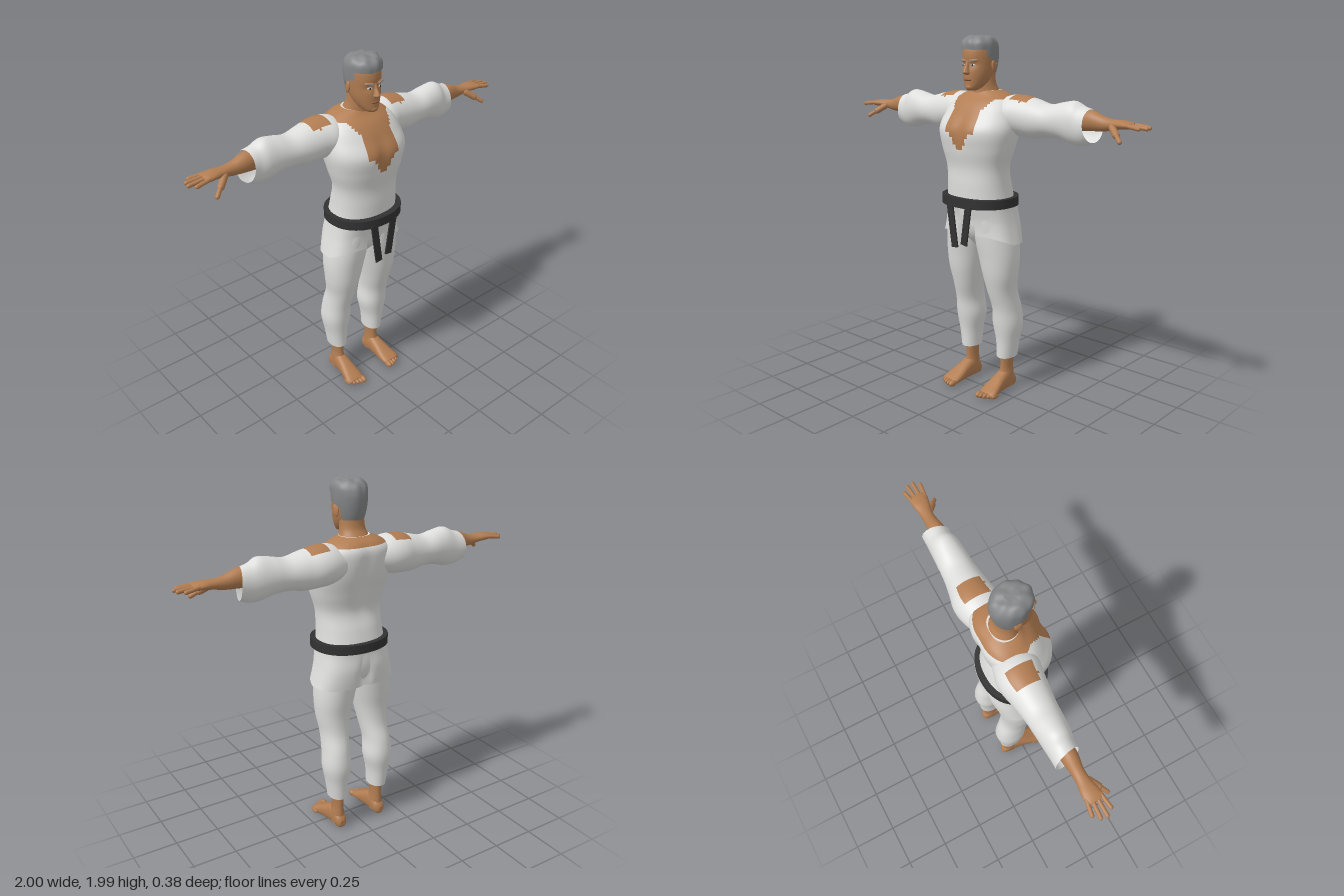
import * as THREE from 'three';

const mat = (name, color, side = THREE.FrontSide) => {
  const m = new THREE.MeshStandardMaterial({ color, side });
  m.name = name;
  return m;
};
const cloth = mat('white cloth', 0xdededc, THREE.DoubleSide);
const skin = mat('skin', 0xb27d52);
const hairGrey = mat('grey hair', 0x858687, THREE.DoubleSide);
const beltBlack = mat('belt black', 0x323232);
const eyeWhite = mat('eye white', 0xd0ccc6);
const dark = mat('dark eye', 0x2a211c);
const lip = mat('lip', 0x8c5a3c);

// Smooth interpolation through neighbouring cross-sections.
const spline = (a, b, c, d, t) => b + 0.5 * t * (c - a + t * (2 * a - 5 * b + 4 * c - d + t * (3 * (b - c) + d - a)));

// Skins a tube through sections [t, uMin, uMax, vMin, vMax] along an axis
// (y: u = z, v = x;  x: u = y, v = z;  z: u = x, v = y).
// pick(centre) chooses the material of each quad, or null to leave it open.
function loft(name, axis, sections, material, { pow = 2, radial = 40, steps = 5, caps = true, warp, pick } = {}) {
  const A = 'xyz'.indexOf(axis), n = sections.length, pos = [], mats = [], lists = [];
  const rows = (n - 1) * steps + 1;
  const shape = (s) => Math.sign(s) * Math.abs(s) ** (2 / pow);
  for (let i = 0; i < rows; i++) {
    const k = Math.min(Math.floor(i / steps), n - 2), t = i / steps - k;
    const at = (j) => sections[Math.min(Math.max(j, 0), n - 1)];
    const s = sections[0].map((_, c) => spline(at(k - 1)[c], at(k)[c], at(k + 1)[c], at(k + 2)[c], t));
    for (let j = 0; j < radial; j++) {
      const a = (j / radial) * Math.PI * 2, p = [0, 0, 0];
      p[A] = s[0];
      p[(A + 1) % 3] = (s[1] + s[2]) / 2 + ((s[2] - s[1]) / 2) * shape(Math.sin(a));
      p[(A + 2) % 3] = (s[3] + s[4]) / 2 + ((s[4] - s[3]) / 2) * shape(Math.cos(a));
      const v = new THREE.Vector3(...p);
      if (warp) warp(v);
      pos.push(v.x, v.y, v.z);
    }
  }
  const add = (m, ...ids) => {
    if (!m) return;
    if (!mats.includes(m)) { mats.push(m); lists.push([]); }
    lists[mats.indexOf(m)].push(...ids);
  };
  for (let i = 0; i < rows - 1; i++) for (let j = 0; j < radial; j++) {
    const a = i * radial + j, b = i * radial + (j + 1) % radial, c = a + radial, d = b + radial;
    const mid = new THREE.Vector3();
    for (const q of [a, b, c, d]) mid.add(new THREE.Vector3().fromArray(pos, q * 3));
    add(pick ? pick(mid.multiplyScalar(0.25)) : material, a, c, b, b, c, d);
  }
  if (caps) for (const end of [0, rows - 1]) {
    const base = pos.length / 3, mid = new THREE.Vector3();
    for (let j = 0; j < radial; j++) {
      const v = new THREE.Vector3().fromArray(pos, (end * radial + j) * 3);
      mid.addScaledVector(v, 1 / radial);
      pos.push(v.x, v.y, v.z);
    }
    pos.push(mid.x, mid.y, mid.z);
    for (let j = 0; j < radial; j++) {
      const a = base + j, b = base + (j + 1) % radial, c = base + radial;
      if (end) add(material, a, c, b); else add(material, a, b, c);
    }
  }
  const g = new THREE.BufferGeometry();
  g.setAttribute('position', new THREE.Float32BufferAttribute(pos, 3));
  g.setIndex(lists.flat());
  let start = 0;
  lists.forEach((l, i) => { g.addGroup(start, l.length, i); start += l.length; });
  g.computeVertexNormals();
  const mesh = new THREE.Mesh(g, mats);
  mesh.name = name;
  return mesh;
}

const sym = (rows) => rows.map(([t, a, b, w]) => [t, a, b, -w, w]);
const bump = (x, c, w) => Math.exp(-(((x - c) / w) ** 2));

function place(name, geometry, material, p, s = [1, 1, 1], r = [0, 0, 0]) {
  const m = new THREE.Mesh(geometry, material);
  m.name = name;
  m.position.set(...p); m.scale.set(...s); m.rotation.set(...r);
  return m;
}

// Rounded rod between two points, used for fingers.
function rod(name, a, b, r) {
  const A = new THREE.Vector3(...a), d = new THREE.Vector3(...b).sub(A), len = d.length();
  const m = place(name, new THREE.CapsuleGeometry(r, len - r, 6, 12), skin, A.clone().addScaledVector(d, 0.5).toArray());
  m.quaternion.setFromUnitVectors(new THREE.Vector3(0, 1, 0), d.normalize());
  return m;
}

// Arm, leg, foot and face parts of the model's left side.
function buildSide(name) {
  const g = new THREE.Group(), ball = new THREE.SphereGeometry(1, 20, 14), box = new THREE.BoxGeometry(1, 1, 1);
  g.name = name;
  g.add(loft('sleeve', 'x', [
    [0.10, 1.50, 1.66, -0.16, 0.03], [0.18, 1.475, 1.685, -0.185, 0.05], [0.25, 1.47, 1.685, -0.188, 0.04],
    [0.33, 1.467, 1.67, -0.17, 0.03], [0.42, 1.48, 1.65, -0.155, 0.02], [0.50, 1.475, 1.665, -0.15, 0.015],
    [0.57, 1.457, 1.675, -0.145, 0.01], [0.62, 1.457, 1.652, -0.14, 0], [0.66, 1.475, 1.64, -0.14, 0],
  ], cloth, {
    caps: false, steps: 7, radial: 48,
    warp: (v) => { // slanted cuff
      const k = Math.max(0, (v.x - 0.58) / 0.08);
      v.x += k * (0.012 - (v.z + 0.07) * 0.22 - (v.y - 1.56) * 0.1);
    },
    pick: (p) => (p.x > 0.2 && p.x < 0.31 && p.y > 1.655 && p.z > -0.14 && p.z < 0 ? skin : cloth),
  }));
  g.add(loft('forearm and palm', 'x', [
    [0.50, 1.52, 1.64, -0.12, -0.02], [0.60, 1.53, 1.64, -0.11, -0.02], [0.68, 1.535, 1.635, -0.105, -0.02],
    [0.75, 1.54, 1.61, -0.096, -0.03], [0.80, 1.55, 1.602, -0.097, -0.028], [0.85, 1.558, 1.602, -0.105, -0.018],
    [0.89, 1.561, 1.597, -0.105, -0.012], [0.91, 1.568, 1.59, -0.098, -0.02],
  ], skin, { radial: 24 }));
  [[-0.094, -0.108, 0.96], [-0.071, -0.078, 0.988], [-0.047, -0.045, 0.993], [-0.024, -0.012, 0.968]].forEach(([z0, z1, x], i) =>
    g.add(rod('finger' + (i + 1), [0.88, 1.582, z0], [x, 1.572, z1], 0.0105)));
  g.add(rod('thumbBase', [0.80, 1.57, -0.04], [0.855, 1.53, 0.0], 0.018));
  g.add(rod('thumb', [0.845, 1.54, -0.007], [0.89, 1.505, 0.026], 0.0115));

  g.add(loft('trouser leg', 'y', [
    [0.20, -0.145, -0.01, 0.085, 0.185], [0.30, -0.155, -0.005, 0.078, 0.20], [0.40, -0.17, 0.01, 0.058, 0.218],
    [0.50, -0.158, 0.022, 0.064, 0.211], [0.60, -0.13, 0.05, 0.05, 0.207], [0.70, -0.125, 0.075, 0.03, 0.222],
    [0.80, -0.138, 0.09, 0.008, 0.229], [0.90, -0.15, 0.105, -0.01, 0.222], [1.00, -0.16, 0.115, -0.01, 0.205],
    [1.10, -0.14, 0.12, 0, 0.18],
  ], cloth, { pow: 2.15 }));
  g.add(loft('ankle', 'y', [
    [0.02, -0.13, -0.03, 0.098, 0.168], [0.08, -0.127, -0.022, 0.098, 0.168], [0.14, -0.125, -0.032, 0.103, 0.162],
    [0.24, -0.128, -0.03, 0.10, 0.168],
  ], skin, { radial: 24 }));
  g.add(loft('foot', 'z', [
    [-0.14, 0.12, 0.15, 0.015, 0.05], [-0.12, 0.10, 0.165, 0, 0.08], [-0.06, 0.095, 0.17, 0, 0.118],
    [0.00, 0.092, 0.178, 0, 0.098], [0.06, 0.087, 0.191, 0, 0.066], [0.10, 0.088, 0.198, 0, 0.046],
    [0.12, 0.095, 0.185, 0.005, 0.035],
  ], skin, { radial: 28, pow: 2.4 }));
  for (let i = 0; i < 5; i++) {
    g.add(place('toe' + (i + 1), ball, skin, [0.103 + i * 0.0215, 0.018, 0.128 - i * i * 0.0024],
      [i ? 0.0115 : 0.016, i ? 0.015 : 0.018, 0.028]));
  }

  g.add(place('ear', ball, skin, [0.087, 1.832, -0.008], [0.009, 0.034, 0.02], [0.2, 0.25, 0]));
  g.add(place('eye', ball, eyeWhite, [0.034, 1.838, 0.0965], [0.014, 0.006, 0.004], [0, 0.35, 0]));
  g.add(place('iris', ball, dark, [0.033, 1.838, 0.0995], [0.005, 0.0055, 0.003], [0, 0.3, 0]));
  g.add(place('brow ridge', ball, skin, [0.033, 1.86, 0.094], [0.027, 0.009, 0.01], [0, 0.35, 0.1]));
  g.add(place('eyebrow', box, hairGrey, [0.034, 1.86, 0.103], [0.038, 0.007, 0.006], [0, 0.38, 0.15]));
  return g;
}

export function createModel() {
  const model = new THREE.Group();
  model.name = 'martial artist';
  const left = buildSide('left side'), right = left.clone();
  right.name = 'right side';
  right.scale.x = -1;
  model.add(left, right);

  // Half-width of the open neckline at a given height.
  const neckline = (y) => y < 1.4 ? 0 : y < 1.47 ? 0.02 + (y - 1.4) * 0.57 : y < 1.49 ? 0.06
    : y < 1.60 ? 0.092 : 0.092 + (y - 1.6) * 0.65;
  model.add(loft('jacket and chest', 'y', sym([
    [1.10, -0.162, 0.15, 0.195], [1.20, -0.138, 0.152, 0.186], [1.30, -0.113, 0.152, 0.187],
    [1.40, -0.135, 0.172, 0.215], [1.50, -0.165, 0.182, 0.235], [1.58, -0.18, 0.135, 0.225],
    [1.64, -0.18, 0.09, 0.20], [1.68, -0.155, 0.045, 0.145], [1.705, -0.115, 0.025, 0.085],
  ]), cloth, {
    pow: 2.25, radial: 80, steps: 8,
    warp: (v) => { // chest cleft and spine groove
      const c = bump(v.y, 1.5, 0.07) * bump(v.x, 0, 0.035);
      if (v.z > 0.04) v.z -= 0.014 * c;
      if (v.z < -0.06) v.z += 0.014 * bump(v.x, 0, 0.04) * bump(v.y, 1.5, 0.16);
    },
    pick: (p) => ((p.z > 0 && Math.abs(p.x) < neckline(p.y)) || p.y > 1.662 ? skin : cloth),
  }));
  model.add(loft('hips', 'y', sym([
    [0.84, -0.06, 0.02, 0.04], [0.92, -0.14, 0.09, 0.15], [1.00, -0.165, 0.115, 0.19], [1.10, -0.16, 0.13, 0.19],
  ]), cloth));
  model.add(loft('jacket skirt', 'y', sym([
    [0.885, -0.16, 0.118, 0.24], [0.94, -0.168, 0.12, 0.226], [1.00, -0.172, 0.126, 0.212], [1.07, -0.165, 0.14, 0.20], [1.12, -0.165, 0.15, 0.197],
  ]), cloth, {
    pow: 2.7, radial: 72, caps: false,
    warp: (v) => {
      const k = (1.12 - v.y) / 0.235;
      if (v.z < -0.05) v.z += 0.03 * bump(v.x, 0, 0.03) * bump(v.y, 0.95, 0.08);
      if (v.z > 0) v.y += k * 0.045 * Math.min(1, v.z / 0.1);
    },
    pick: (p) => (p.z > 0.03 && Math.abs(p.x) < 0.02 + (1.1 - p.y) * 0.25 ? null : cloth),
  }));

  // Belt with two hanging ends.
  model.add(loft('belt', 'y', sym([[1.09, -0.183, 0.187, 0.217], [1.14, -0.183, 0.187, 0.217]]), beltBlack, { radial: 64, steps: 1, pow: 2.2 }));
  const strap = new THREE.BoxGeometry(0.042, 1, 0.009);
  model.add(place('beltEndRight', strap, beltBlack, [-0.047, 0.985, 0.176], [1, 0.245, 1], [0, 0, 0.15]));
  model.add(place('beltEndLeft', strap, beltBlack, [0.053, 0.995, 0.176], [1, 0.22, 1], [0, 0, -0.15]));

  // Neck and head.
  model.add(loft('neck', 'y', sym([
    [1.62, -0.14, 0.05, 0.11], [1.69, -0.118, 0.035, 0.085], [1.74, -0.088, 0.036, 0.07], [1.81, -0.08, 0.04, 0.066],
  ]), skin));
  model.add(loft('head', 'y', sym([
    [1.706, 0.045, 0.09, 0.022], [1.718, 0.01, 0.104, 0.04], [1.75, -0.045, 0.106, 0.062], [1.79, -0.075, 0.107, 0.076],
    [1.84, -0.09, 0.104, 0.083], [1.89, -0.095, 0.106, 0.085], [1.93, -0.09, 0.097, 0.08], [1.965, -0.06, 0.065, 0.055],
  ]), skin, {
    warp: (v) => { // eye sockets
      if (v.z > 0.04) v.z -= 0.007 * bump(v.y, 1.838, 0.014) * bump(Math.abs(v.x), 0.034, 0.02);
    },
  }));
  model.add(loft('nose', 'y', sym([
    [1.786, 0.08, 0.108, 0.012], [1.797, 0.08, 0.132, 0.018], [1.81, 0.08, 0.131, 0.014], [1.835, 0.08, 0.116, 0.009], [1.862, 0.08, 0.106, 0.009],
  ]), skin, { radial: 20 }));
  const oval = new THREE.SphereGeometry(1, 20, 12);
  model.add(place('mouth', oval, lip, [0, 1.762, 0.103], [0.026, 0.007, 0.01]));
  model.add(place('chin', oval, skin, [0, 1.725, 0.09], [0.025, 0.018, 0.018]));

  // Hair cap, left open over the face and ears.
  const hairline = (z) => (z > 0.045 ? 1.915 : z > 0.012 ? 1.875 : z > -0.035 ? 1.85 : 1.785);
  model.add(loft('hair', 'y', sym([
    [1.77, -0.08, 0.06, 0.068], [1.81, -0.093, 0.09, 0.081], [1.86, -0.103, 0.106, 0.09], [1.91, -0.106, 0.109, 0.093],
    [1.95, -0.096, 0.107, 0.091], [1.975, -0.07, 0.085, 0.075], [1.988, -0.03, 0.045, 0.04],
  ]), hairGrey, {
    radial: 64, steps: 7,
    warp: (v) => {
      const k = Math.max(0, (v.y - 1.87) / 0.12);
      v.x *= 1 + 0.03 * k * Math.sin(v.z * 110);
      v.z *= 1 + 0.04 * k * Math.sin(v.x * 100);
      v.y += 0.005 * k * Math.sin(v.x * 90 + 1) * Math.cos(v.z * 60);
    },
    pick: (p) => (p.y > hairline(p.z) ? hairGrey : null),
  }));
  return model;
}
